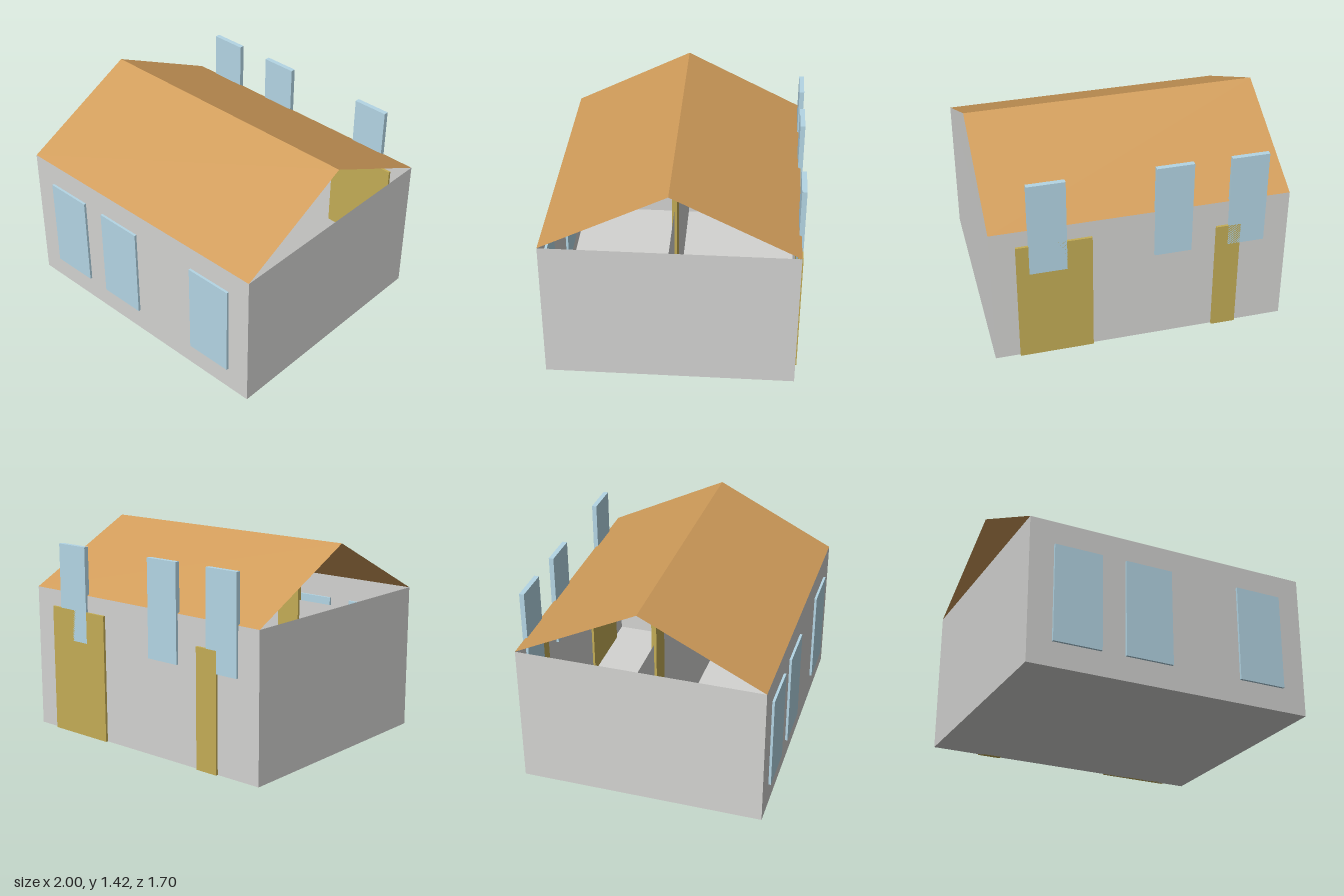
import * as THREE from 'three';

const W = 2, D = 5 / 3, H = 1, RIDGE = 1.417, T = 1 / 30;

function material(name, color, side = THREE.FrontSide) {
  const m = new THREE.MeshStandardMaterial({ color, side });
  m.name = name;
  return m;
}

export function createModel() {
  const house = new THREE.Group();
  house.name = 'house';
  const wallGrey = material('wall grey', 0xd3d3d1, THREE.DoubleSide);
  const roofBrown = material('roof brown', 0xd09c5a, THREE.DoubleSide);
  const doorOlive = material('door olive', 0xc4ad56);
  const glassBlue = material('window blue', 0xb4d6e5);

  const add = (name, geometry, mat, x, y, z) => {
    const mesh = new THREE.Mesh(geometry, mat);
    mesh.name = name;
    mesh.position.set(x, y, z);
    house.add(mesh);
    return mesh;
  };
  // Slab given by its left edge, base and size, centred on a wall plane
  const slab = (name, mat, x, y, z, w, h) =>
    add(name, new THREE.BoxGeometry(w, h, T), mat, x + w / 2, y + h / 2, z);

  // Thin walls, partition and floor
  add('frontWall', new THREE.PlaneGeometry(W, H), wallGrey, 0, H / 2, D / 2);
  add('backWall', new THREE.PlaneGeometry(W, H), wallGrey, 0, H / 2, -D / 2).rotation.y = Math.PI;
  add('partitionWall', new THREE.PlaneGeometry(W, H), wallGrey, 0, H / 2, 0);
  for (const s of [1, -1]) {
    add(s > 0 ? 'leftWall' : 'rightWall', new THREE.PlaneGeometry(D, H), wallGrey, s * W / 2, H / 2, 0)
      .rotation.y = s * Math.PI / 2;
  }
  add('floor', new THREE.PlaneGeometry(W, D), wallGrey, 0, 0, 0).rotation.x = Math.PI / 2;

  // Two thin roof slopes meeting at the ridge, gables left open
  const rise = RIDGE - H, run = D / 2;
  for (const s of [1, -1]) {
    const slope = add(s > 0 ? 'frontRoof' : 'backRoof',
      new THREE.PlaneGeometry(W, Math.hypot(rise, run)), roofBrown, 0, H + rise / 2, s * run / 2);
    slope.rotation.x = -s * Math.atan2(run, rise);
    if (s < 0) slope.rotateY(Math.PI);
  }

  // Windows: three in front, three narrower and higher at the back
  for (const x of [-0.833, -0.333, 0.5]) {
    slab('frontWindow', glassBlue, x, 0.167, D / 2, 0.333, 0.667);
    slab('backWindow', glassBlue, x, 0.667, -D / 2, 0.25, 0.667);
  }

  // Doors: wide and narrow at the back, two raised ones in the partition
  slab('wideDoor', doorOlive, 0.333, 0, -D / 2, 0.5, 0.885);
  slab('narrowDoor', doorOlive, -0.667, 0, -D / 2, 0.167, 0.817);
  for (const x of [-0.667, 0.333]) slab('innerDoor', doorOlive, x, 0.5, 0, 0.167, 0.817);

  return house;
}
